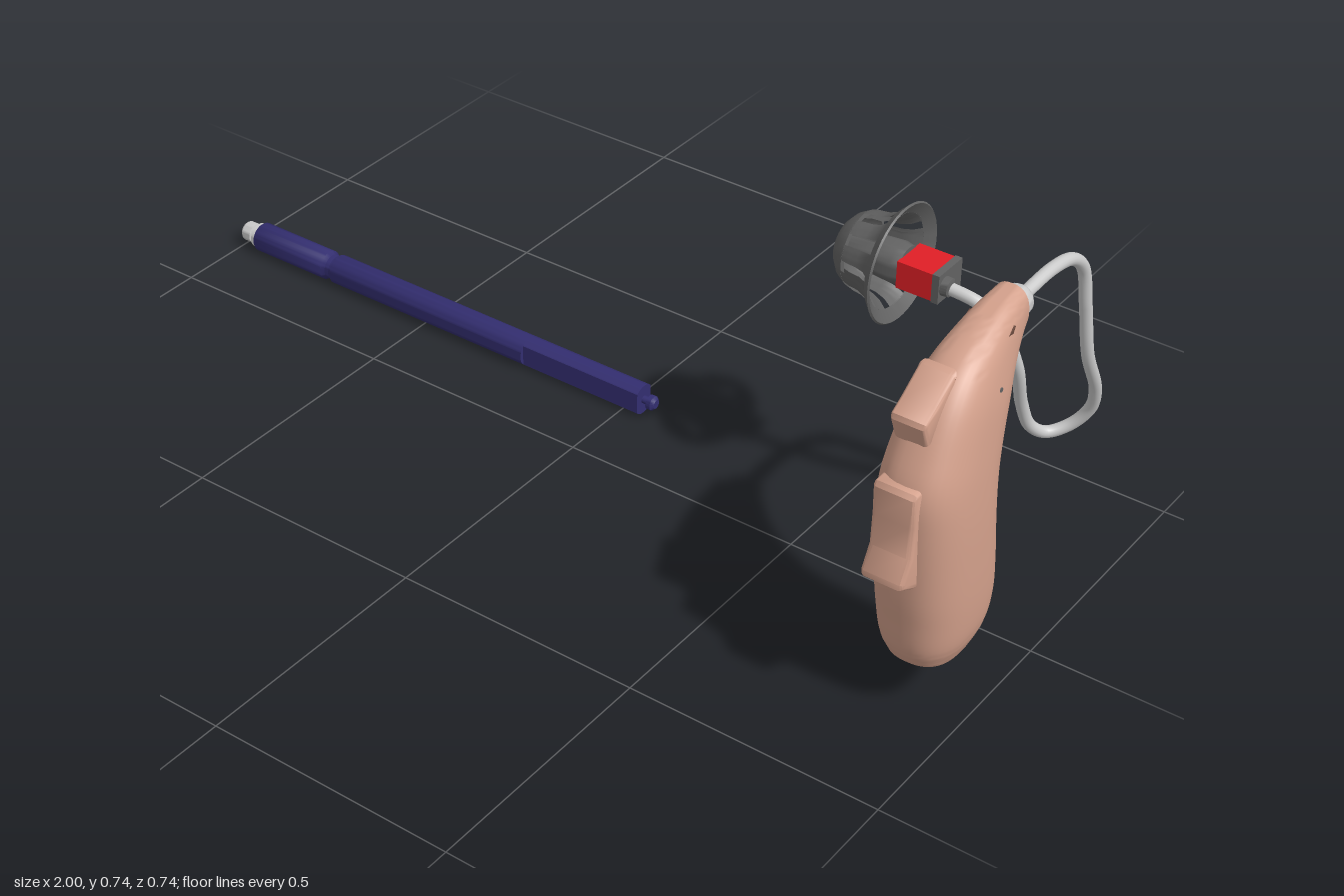
import * as THREE from 'three';
import { toCreasedNormals } from 'three/addons/utils/BufferGeometryUtils.js';

const mat = (color, side = THREE.FrontSide) => new THREE.MeshStandardMaterial({ color, side });
const SKIN = mat(0xd3a08b), SLOT = mat(0x6b4a3e), LIGHT = mat(0xcccccc);
const DARK = mat(0x626262, THREE.DoubleSide), RED = mat(0xe01f26), BLUE = mat(0x332e70);

function add(parent, name, geometry, material, x = 0, y = 0, z = 0) {
  const mesh = new THREE.Mesh(geometry, material);
  mesh.name = name;
  mesh.position.set(x, y, z);
  parent.add(mesh);
  return mesh;
}

// Turned part along the x axis; profile is [x, radius] pairs
function turned(profile, segments = 32, start = 0, sweep = Math.PI * 2) {
  const pts = profile.map(([x, r]) => new THREE.Vector2(r, x));
  const g = new THREE.LatheGeometry(pts, segments, start, sweep).rotateZ(-Math.PI / 2);
  return toCreasedNormals(g, 0.7);
}

// Side profile of [z, y] pairs, extruded across x and centred
function sideExtrude(points, width, bevel = 0) {
  const shape = new THREE.Shape(points.map(([z, y]) => new THREE.Vector2(z, y)));
  const depth = width - 2 * bevel;
  const g = new THREE.ExtrudeGeometry(shape, {
    depth, bevelEnabled: bevel > 0, bevelSize: bevel, bevelThickness: bevel,
    bevelOffset: -bevel, bevelSegments: 4,
  });
  return toCreasedNormals(g.translate(0, 0, -depth / 2).rotateY(-Math.PI / 2), 0.6);
}

// Curved shell: rounded sections spanning a front and a back outline
function shellGeometry() {
  // front z, front y, back z, back y, half width
  const stations = [
    [0.20, 0.10, 0.20, 0.10, 0], [0.272, 0.116, 0.15, 0.107, 0.05],
    [0.290, 0.135, 0.115, 0.134, 0.066], [0.302, 0.165, 0.097, 0.174, 0.078],
    [0.312, 0.22, 0.091, 0.223, 0.084], [0.323, 0.29, 0.098, 0.30, 0.086],
    [0.335, 0.42, 0.107, 0.38, 0.085], [0.335, 0.50, 0.105, 0.46, 0.081],
    [0.308, 0.568, 0.092, 0.525, 0.075], [0.268, 0.637, 0.075, 0.575, 0.068],
    [0.219, 0.684, 0.058, 0.61, 0.058], [0.15, 0.716, 0.043, 0.632, 0.048],
    [0.09, 0.734, 0.03, 0.648, 0.04], [0.028, 0.744, 0.02, 0.657, 0.033],
  ];
  const front = new THREE.CatmullRomCurve3(stations.map(s => new THREE.Vector3(s[4], s[1], s[0])), false, 'catmullrom');
  const back = new THREE.CatmullRomCurve3(stations.map(s => new THREE.Vector3(0, s[3], s[2])), false, 'catmullrom');
  const rows = 65, n = 40, pos = [], idx = [];
  const soft = v => Math.sign(v) * Math.abs(v) ** (2 / 2.5);
  for (let i = 0; i <= rows; i++) {
    const f = front.getPoint(i / rows), b = back.getPoint(i / rows);
    for (let j = 0; j < n; j++) {
      const a = (j / n) * Math.PI * 2, t = (1 + soft(Math.cos(a))) / 2;
      pos.push(f.x * soft(Math.sin(a)), b.y + (f.y - b.y) * t, b.z + (f.z - b.z) * t);
      if (i < rows) {
        const p = i * n + j, q = i * n + (j + 1) % n;
        idx.push(p, q, q + n, p, q + n, p + n);
      }
    }
  }
  // Flat end at the tube socket
  const top = rows * n, centre = pos.length / 3;
  pos.push(0, 0.7, 0.024);
  for (let j = 0; j < n; j++) idx.push(top + j, top + (j + 1) % n, centre);
  const g = new THREE.BufferGeometry();
  g.setAttribute('position', new THREE.Float32BufferAttribute(pos, 3));
  g.setIndex(idx);
  return toCreasedNormals(g, 0.8);
}

function makeBody() {
  const body = new THREE.Group();
  body.name = 'body';
  body.position.x = 0.91;
  add(body, 'shell', shellGeometry(), SKIN);
  add(body, 'upperButton', sideExtrude([[0.222, 0.687], [0.235, 0.683], [0.285, 0.649], [0.314, 0.632],
    [0.317, 0.622], [0.30, 0.578], [0.25, 0.59]], 0.068, 0.01), SKIN, -0.013);
  add(body, 'lowerButton', sideExtrude([[0.29, 0.518], [0.342, 0.515], [0.348, 0.506], [0.346, 0.45],
    [0.348, 0.39], [0.369, 0.35], [0.368, 0.338], [0.33, 0.318], [0.29, 0.31]], 0.082, 0.01), SKIN, -0.01);
  // Openings showing on both flanks
  add(body, 'microphoneSlots', sideExtrude([[0.122, 0.692], [0.085, 0.708], [0.092, 0.697], [0.084, 0.692]], 0.086), SLOT);
  add(body, 'hingePin', new THREE.CylinderGeometry(0.005, 0.005, 0.127, 16).rotateZ(Math.PI / 2), DARK, 0, 0.629, 0.154);
  add(body, 'bottomPort', new THREE.TorusGeometry(0.011, 0.003, 8, 20), SLOT, 0, 0.15, 0.104).rotation.x = 0.5;
  return body;
}

function makeTube() {
  const group = new THREE.Group();
  group.name = 'soundTube';
  const collar = turned([[-0.04, 0], [-0.04, 0.024], [-0.018, 0.03], [0, 0.028], [0.008, 0.023], [0.012, 0.013], [0.012, 0]]);
  add(group, 'collar', collar.rotateY(Math.PI / 2), LIGHT, 0.91, 0.70, 0);
  const path = [
    [0.912, 0.702, 0], [0.913, 0.705, -0.107], [0.913, 0.688, -0.176], [0.913, 0.647, -0.222],
    [0.913, 0.558, -0.248], [0.912, 0.44, -0.28], [0.908, 0.331, -0.337], [0.893, 0.272, -0.356],
    [0.862, 0.229, -0.347], [0.83, 0.214, -0.32], [0.812, 0.237, -0.29], [0.806, 0.30, -0.259],
    [0.812, 0.41, -0.213], [0.793, 0.50, -0.178], [0.757, 0.543, -0.162], [0.68, 0.556, -0.158],
  ];
  const curve = new THREE.CatmullRomCurve3(path.map(p => new THREE.Vector3(...p)));
  add(group, 'tube', new THREE.TubeGeometry(curve, 160, 0.0118, 16), LIGHT);
  return group;
}

function makeEarpiece() {
  const group = new THREE.Group();
  group.name = 'earpiece';
  group.position.set(0, 0.556, -0.176);
  add(group, 'receiver', new THREE.BoxGeometry(0.072, 0.054, 0.075), RED, 0.637);
  add(group, 'receiverCap', new THREE.BoxGeometry(0.014, 0.057, 0.078), DARK, 0.68);
  add(group, 'tubeSocket', turned([[0.68, 0.019], [0.70, 0.017], [0.705, 0]], 20), DARK, 0, 0, 0.018);
  add(group, 'core', turned([[0.472, 0.028], [0.53, 0.036], [0.585, 0.04], [0.602, 0.036], [0.602, 0]]), DARK);

  // Soft dome: closed nose, ribs with windows between them, flared rim
  add(group, 'domeNose', turned([[0.468, 0.012], [0.468, 0.025], [0.475, 0.045], [0.49, 0.062], [0.508, 0.072],
    [0.51, 0.064], [0.496, 0.056], [0.482, 0.04], [0.476, 0.012], [0.468, 0.012]], 45), DARK);
  add(group, 'domeRim', turned([[0.573, 0.098], [0.59, 0.115], [0.593, 0.112], [0.578, 0.09], [0.573, 0.098]], 45), DARK);
  const ribs = 9, pitch = Math.PI * 2 / ribs, gap = 0.3;
  for (let i = 0; i < ribs; i++) {
    const rib = turned([[0.506, 0.071], [0.524, 0.076], [0.542, 0.078], [0.56, 0.085], [0.574, 0.098], [0.579, 0.091],
      [0.564, 0.078], [0.545, 0.07], [0.524, 0.068], [0.508, 0.063], [0.506, 0.071]], 5, i * pitch + gap / 2, pitch - gap);
    add(group, 'domeRib', rib, DARK);
  }
  return group;
}

function makeTool() {
  const tool = new THREE.Group();
  tool.name = 'cleaningStick';
  tool.position.set(0, 0.032, -0.176);
  add(tool, 'barrel', turned([[-0.957, 0], [-0.957, 0.028], [-0.953, 0.031], [-0.768, 0.031], [-0.76, 0.026],
    [-0.75, 0.026], [-0.742, 0.031], [-0.24, 0.031], [-0.24, 0]], 40), BLUE);
  // Grip with two flat flanks
  const a = Math.acos(0.022 / 0.031), section = new THREE.Shape();
  section.absarc(0, 0, 0.031, a, Math.PI - a);
  section.absarc(0, 0, 0.031, Math.PI + a, -a);
  const grip = new THREE.ExtrudeGeometry(section, { depth: 0.28, bevelEnabled: false, curveSegments: 16 });
  add(tool, 'flatGrip', toCreasedNormals(grip.rotateY(Math.PI / 2), 0.5), BLUE, -0.24);
  add(tool, 'endKnob', turned([[0.035, 0.008], [0.052, 0.008], [0.054, 0.015], [0.064, 0.015], [0.07, 0.009], [0.07, 0]], 20), BLUE);
  add(tool, 'tip', turned([[-1, 0], [-1, 0.017], [-0.995, 0.021], [-0.975, 0.021], [-0.973, 0.014],
    [-0.968, 0.014], [-0.966, 0.026], [-0.955, 0.026]], 24), LIGHT);
  return tool;
}

export function createModel() {
  const model = new THREE.Group();
  model.name = 'hearingAidSet';
  model.add(makeBody(), makeTube(), makeEarpiece(), makeTool());
  return model;
}
